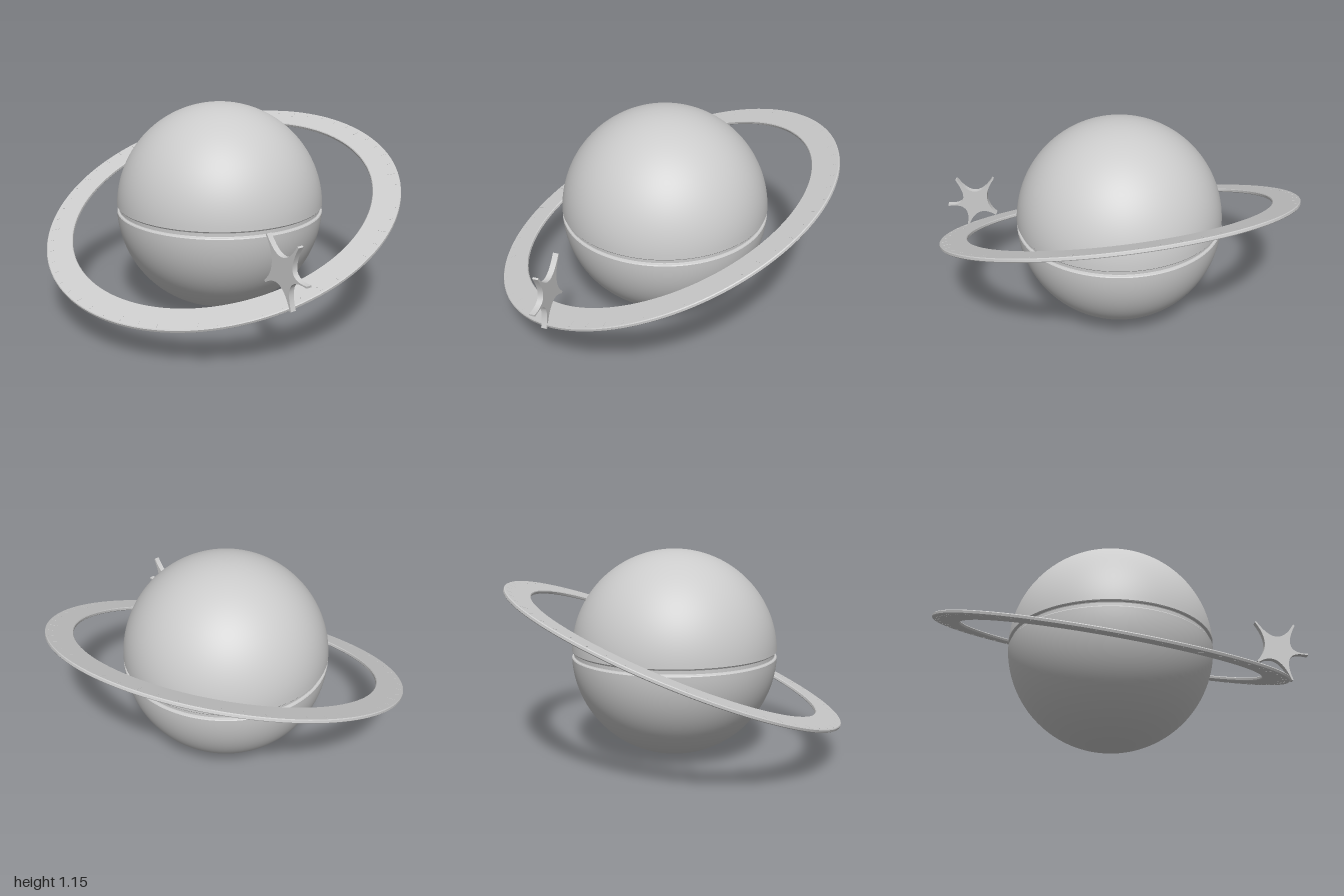
import * as THREE from 'three';
import { toCreasedNormals } from 'three/addons/utils/BufferGeometryUtils.js';

const material = new THREE.MeshStandardMaterial({ color: 0xcccccc, roughness: 0.7 });
const CENTER_Y = 0.574;
const RADIUS = 0.573;

function addMesh(parent, name, geometry) {
  const mesh = new THREE.Mesh(geometry, material);
  mesh.name = name;
  parent.add(mesh);
  return mesh;
}

function lathe(points, segments) {
  const profile = points.map(([x, y]) => new THREE.Vector2(x, y));
  return toCreasedNormals(new THREE.LatheGeometry(profile, segments), 0.4);
}

// Sphere with a shallow groove around its equator
function planet() {
  const steps = 36;
  const gap = Math.asin(0.02 / RADIUS);
  const lower = [];
  for (let i = 0; i <= steps; i++) {
    const a = -Math.PI / 2 + (Math.PI / 2 - gap) * (i / steps);
    lower.push([i ? RADIUS * Math.cos(a) : 0, RADIUS * Math.sin(a)]);
  }
  const half = [...lower, [0.569, -0.015], [0.561, -0.013], [0.559, -0.009]];
  const upper = half.map(([x, y]) => [x, -y]).reverse();
  return lathe([...half, ...upper], 96);
}

// Flat band with slightly bevelled rims
function band() {
  const inner = 0.85, outer = 1, h = 0.01, b = 0.004;
  return lathe([
    [outer, -h + b], [outer, h - b], [outer - b, h], [inner + b, h],
    [inner, h - b], [inner, -h + b], [inner + b, -h], [outer - b, -h], [outer, -h + b],
  ], 128);
}

// Five-pointed star plate with concave sides and blunt tips
function starPlate() {
  const tips = [[0.604, 0.66], [0.60, 0.417], [0.776, 0.318], [0.872, 0.476], [0.813, 0.652]];
  const valleys = [[0.647, 0.529], [0.70, 0.431], [0.773, 0.449], [0.783, 0.519], [0.711, 0.572]];
  const local = ([x, y]) => new THREE.Vector2((x - 0.73) / Math.cos(0.35), y - 0.49);
  const t = tips.map(local), v = valleys.map(local);
  const shape = new THREE.Shape();
  t.forEach((a, i) => {
    const b = t[(i + 1) % t.length];
    const start = a.clone().lerp(b, 0.03), end = b.clone().lerp(a, 0.03);
    const control = v[i].clone().multiplyScalar(2).sub(a.clone().add(b).multiplyScalar(0.5));
    if (i === 0) shape.moveTo(start.x, start.y);
    else shape.lineTo(start.x, start.y);
    shape.quadraticCurveTo(control.x, control.y, end.x, end.y);
  });
  shape.closePath();
  const geometry = new THREE.ExtrudeGeometry(shape, { depth: 0.03, bevelEnabled: false, curveSegments: 12 });
  geometry.translate(0, 0, -0.015);
  return toCreasedNormals(geometry, 0.5);
}

export function createModel() {
  const model = new THREE.Group();
  model.name = 'ringedPlanet';

  addMesh(model, 'planet', planet()).position.y = CENTER_Y;

  // Ring tilted down towards the front
  const ring = new THREE.Group();
  ring.name = 'ring';
  ring.position.y = CENTER_Y;
  ring.rotation.x = 0.387;
  model.add(ring);
  addMesh(ring, 'ringBand', band());

  // Sixty dial ticks, every fifth one longer
  const minor = new THREE.BoxGeometry(0.026, 0.022, 0.006);
  const major = new THREE.BoxGeometry(0.045, 0.022, 0.009);
  for (let i = 0; i < 60; i++) {
    const a = (i / 60) * Math.PI * 2;
    const isMajor = i % 5 === 0;
    const r = isMajor ? 0.963 : 0.972;
    const tick = addMesh(ring, isMajor ? 'majorTick' : 'minorTick', isMajor ? major : minor);
    tick.position.set(r * Math.cos(a), 0, r * Math.sin(a));
    tick.rotation.y = -a;
  }

  // Star standing on the ring at the front left
  const star = addMesh(model, 'star', starPlate());
  star.position.set(0.73, 0.49, 0.58);
  star.rotation.y = -0.35;

  return model;
}
